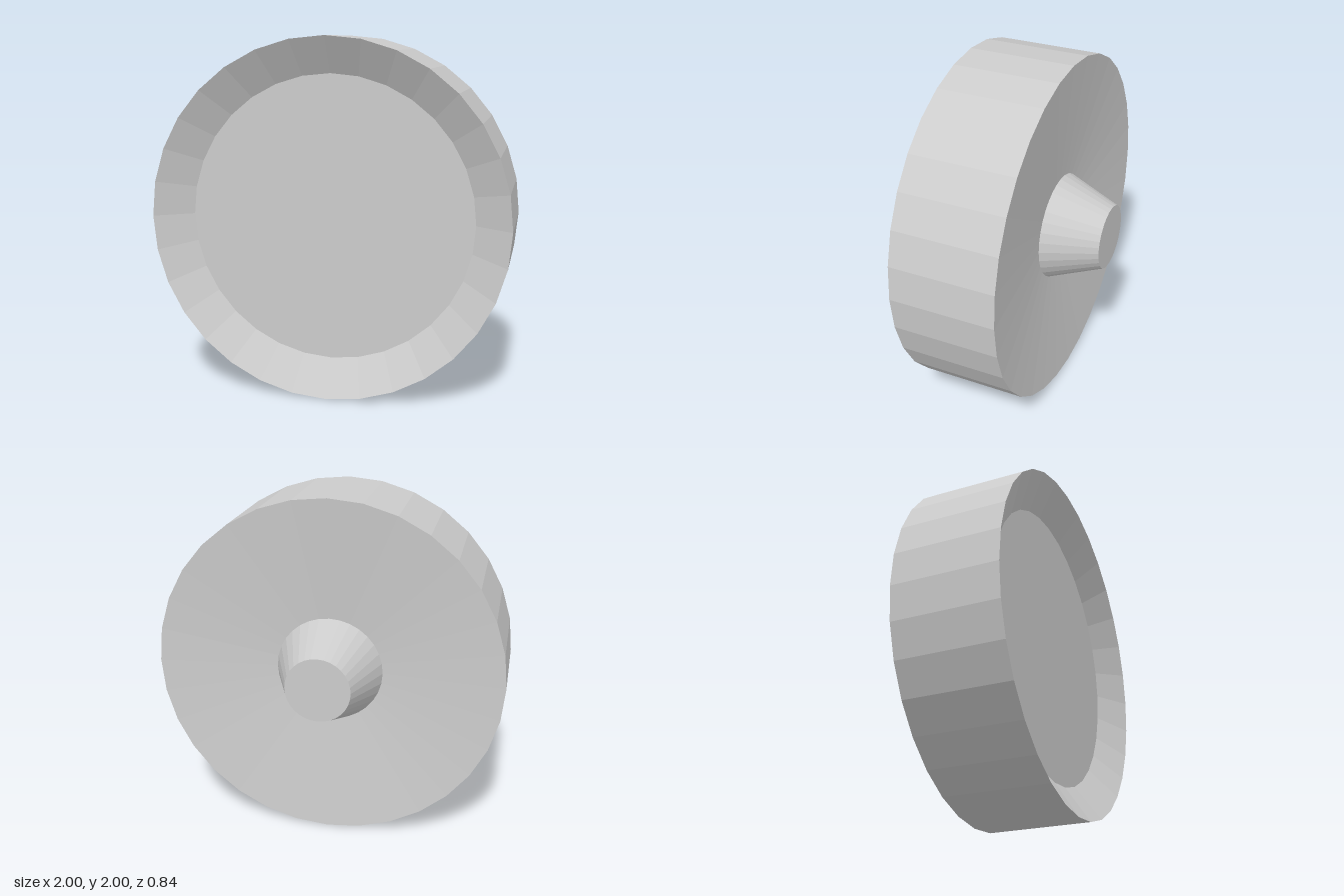
import * as THREE from 'three';

const SIDES = 32;

// Turns a [radius, z] profile, listed from back to front, around the z axis.
function turned(name, profile, material) {
  const points = profile.map(([r, z]) => new THREE.Vector2(r, z));
  const geometry = new THREE.LatheGeometry(points, SIDES);
  geometry.rotateX(Math.PI / 2);
  const mesh = new THREE.Mesh(geometry, material);
  mesh.name = name;
  mesh.position.y = 1;
  return mesh;
}

export function createModel() {
  const group = new THREE.Group();
  group.name = 'roundKnob';
  const material = new THREE.MeshStandardMaterial({ color: 0xcccccc, flatShading: true });

  // Wide drum: shallow conical hollow at the back, bevelled recess at the front
  group.add(turned('drum', [
    [0.307, -0.113],
    [1, -0.18],
    [1, 0.42],
    [0.8, 0.294],
    [0, 0.294],
  ], material));

  // Tapered stem rising from the hollow in the back
  group.add(turned('stem', [
    [0, -0.42],
    [0.185, -0.42],
    [0.307, -0.113],
  ], material));

  return group;
}
